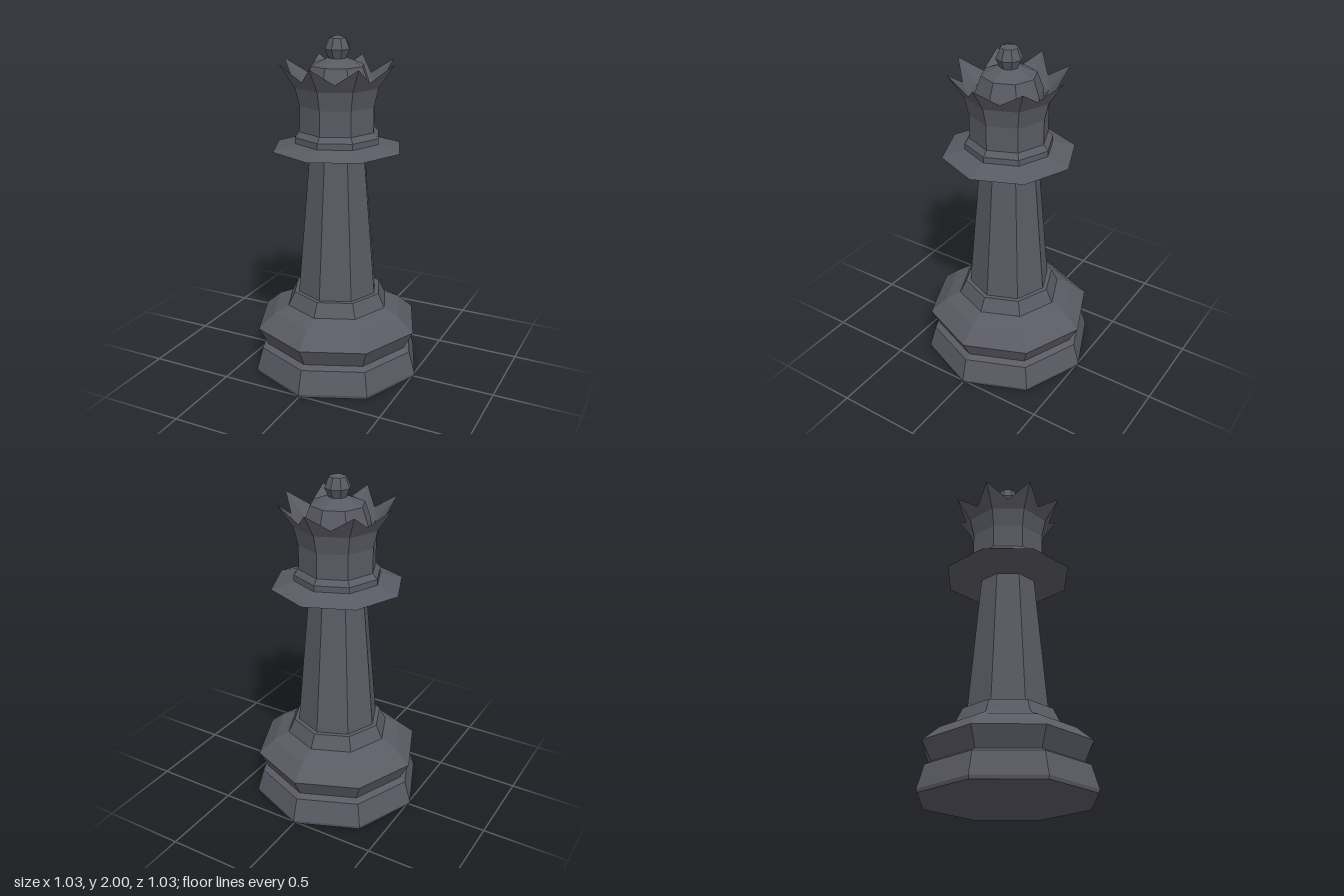
import * as THREE from 'three';

const SIDES = 8;
const material = new THREE.MeshStandardMaterial({ color: 0x5a5a64, flatShading: true, side: THREE.DoubleSide });

// Eight-sided turned part from [radius, height] pairs, bottom to top
function turned(name, profile) {
  const points = profile.map(([r, y]) => new THREE.Vector2(r, y));
  const mesh = new THREE.Mesh(new THREE.LatheGeometry(points, SIDES), material);
  mesh.name = name;
  return mesh;
}

// Crown of eight outward-leaning points; each has an outer and inner ridge
function crownPoints() {
  const step = (Math.PI * 2) / SIDES;
  const at = (r, y, k) => [r * Math.sin(k * step), y, r * Math.cos(k * step)];
  const positions = [];
  const tri = (...corners) => corners.forEach((c) => positions.push(...c));
  for (let i = 0; i < SIDES; i++) {
    const tip = at(0.34, 1.855, i);
    const nextTip = at(0.34, 1.855, i + 1);
    const valley = at(0.26, 1.765, i + 0.5);
    const outer = at(0.25, 1.72, i), nextOuter = at(0.25, 1.72, i + 1);
    const inner = at(0.22, 1.72, i), nextInner = at(0.22, 1.72, i + 1);
    // Outside
    tri(outer, valley, tip);
    tri(outer, nextOuter, valley);
    tri(nextOuter, nextTip, valley);
    // Inside
    tri(inner, tip, valley);
    tri(inner, valley, nextInner);
    tri(nextInner, valley, nextTip);
  }
  const geometry = new THREE.BufferGeometry();
  geometry.setAttribute('position', new THREE.Float32BufferAttribute(positions, 3));
  geometry.computeVertexNormals();
  const mesh = new THREE.Mesh(geometry, material);
  mesh.name = 'crownPoints';
  return mesh;
}

export function createModel() {
  const model = new THREE.Group();
  model.name = 'chessQueen';
  model.add(
    turned('base', [[0, 0], [0.51, 0], [0.515, 0.02], [0.476, 0.155], [0.44, 0.175]]),
    turned('foot', [[0.44, 0.175], [0.497, 0.285], [0.4, 0.37], [0.31, 0.412], [0.27, 0.495], [0.24, 0.495]]),
    turned('column', [[0.243, 0.495], [0.17, 1.315]]),
    turned('collar', [[0.17, 1.315], [0.385, 1.365], [0.254, 1.405], [0.254, 1.44], [0.225, 1.47]]),
    turned('head', [[0.225, 1.47], [0.225, 1.615], [0.25, 1.72]]),
    crownPoints(),
    // Inner wall of the crown, falling to the dome
    turned('crownLining', [[0.195, 1.68], [0.22, 1.72]]),
    turned('dome', [[0.195, 1.68], [0.19, 1.74], [0.155, 1.835], [0.07, 1.87], [0.052, 1.875]]),
    turned('finial', [[0.052, 1.875], [0.075, 1.925], [0.05, 1.985], [0, 2]]),
  );
  return model;
}
